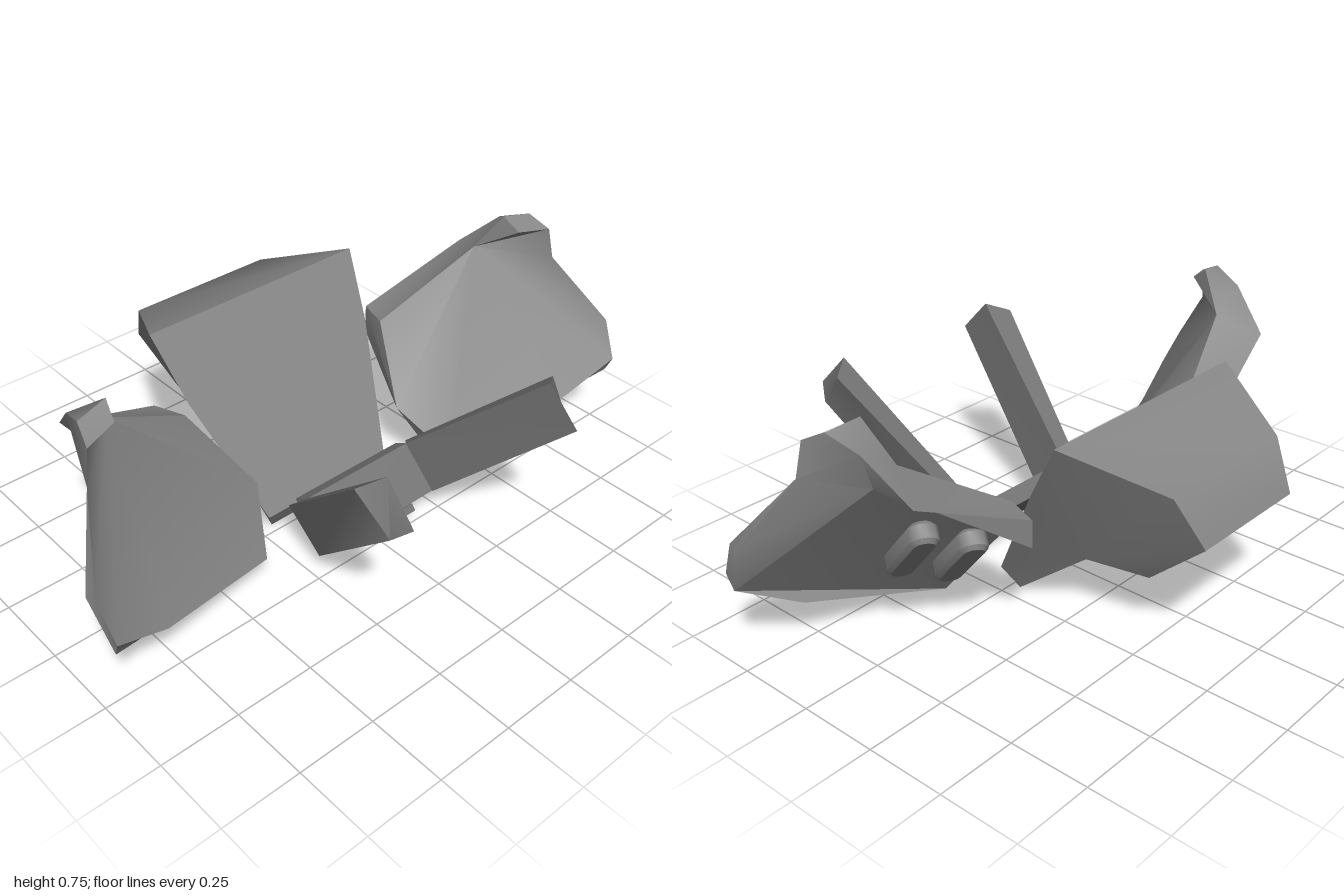
import * as THREE from 'three';
import { toCreasedNormals } from 'three/addons/utils/BufferGeometryUtils.js';

const plateGrey = new THREE.MeshStandardMaterial({ color: 0x868686 });
const frameGrey = new THREE.MeshStandardMaterial({ color: 0x727272 });

// Solid from named corners; faces are strings of corner names, fanned from the first
function solid(corners, faces) {
  const pos = [];
  for (const face of faces) {
    const f = face.split(' ');
    for (let i = 1; i < f.length - 1; i++) pos.push(...corners[f[0]], ...corners[f[i]], ...corners[f[i + 1]]);
  }
  const geo = new THREE.BufferGeometry();
  geo.setAttribute('position', new THREE.Float32BufferAttribute(pos, 3));
  return geo;
}

// Reflects a non-indexed geometry in x and restores the winding
function mirrored(source) {
  const geo = source.clone();
  const p = geo.attributes.position;
  const a = new THREE.Vector3(), b = new THREE.Vector3();
  for (let i = 0; i < p.count; i++) p.setX(i, -p.getX(i));
  for (let i = 0; i < p.count; i += 3) {
    a.fromBufferAttribute(p, i + 1);
    b.fromBufferAttribute(p, i + 2);
    p.setXYZ(i + 1, b.x, b.y, b.z);
    p.setXYZ(i + 2, a.x, a.y, a.z);
  }
  return geo;
}

// Smooth across gentle folds, sharp at the real edges
function addMesh(parent, name, geo, material) {
  const mesh = new THREE.Mesh(toCreasedNormals(geo, THREE.MathUtils.degToRad(44)), material);
  mesh.name = name;
  parent.add(mesh);
}

function addPair(parent, name, geo, material) {
  addMesh(parent, 'right' + name, mirrored(geo), material);
  addMesh(parent, 'left' + name, geo, material);
}

// Extrudes a (z, y) profile across x, centred
function acrossX(profile, halfWidth) {
  const shape = new THREE.Shape(profile.map(([z, y]) => new THREE.Vector2(z, y)));
  const geo = new THREE.ExtrudeGeometry(shape, { depth: halfWidth * 2, bevelEnabled: false });
  return geo.rotateY(-Math.PI / 2).translate(halfWidth, 0, 0);
}

// Rear block: one side outline joined to its mirror image
function rearBlock() {
  const side = {
    A: [0.39, 0.635, -0.33], B: [0.245, 0.53, -0.61], C: [0.205, 0.39, -0.69], D: [0.16, 0.2, -0.48],
    E: [0.205, 0.205, -0.29], F: [0.2, 0, -0.03], G: [0.24, 0.075, 0.01], H: [0.353, 0.435, -0.21],
  };
  const corners = {};
  for (const [k, [x, y, z]] of Object.entries(side)) {
    corners[k] = [x, y, z];
    corners[k + 'r'] = [-x, y, z];
  }
  const ring = Object.keys(side);
  const faces = ['E D C B A H G F', 'Er Fr Gr Hr Ar Br Cr Dr'];
  ring.forEach((k, i) => {
    const n = ring[(i + 1) % ring.length];
    faces.push(`${k} ${n} ${n}r ${k}r`);
  });
  return solid(corners, faces);
}

// Side plate corners: P = front outline, Q = recessed back face, R = rear rim and crest
const plateCorners = {
  P1: [0.39, 0.43, -0.18], P2: [0.285, 0.24, 0.015], P3: [0.375, 0.095, 0.165], P4: [0.8, 0.185, 0.28],
  P5: [0.98, 0.275, 0.322], P6: [0.993, 0.395, 0.265], P7: [0.885, 0.6, 0.1], P8: [0.865, 0.705, 0.09],
  P9: [0.76, 0.715, 0.055], P10: [0.705, 0.63, -0.08],
  Q1: [0.77, 0.58, -0.06], Q2: [0.45, 0.355, -0.19], Q3: [0.39, 0.035, 0.095],
  Q4: [0.81, 0.14, 0.22], Q5: [0.975, 0.225, 0.3], Q6: [1, 0.39, 0.23],
  R0: [0.42, 0.335, -0.28], R1: [0.425, 0.425, -0.285], R2: [0.775, 0.575, -0.21],
  R3: [0.82, 0.7, -0.08], R4: [0.845, 0.74, 0.02], R5: [0.745, 0.755, 0],
};

// Side plate surfaces, kept apart so the edges between them stay sharp
const plateFaces = {
  PlateFront: ['P10 P1 P2 P3 P4 P5 P6 P7 P8 P9'],
  PlateLowerEdge: ['P4 P3 Q3 Q4', 'P5 P4 Q4 Q5'],
  PlateOuterEdge: ['P6 P5 Q5 Q6', 'P7 P6 Q6', 'P7 Q6 Q1', 'Q6 Q5 Q1', 'P7 Q1 R3', 'P8 P7 R3', 'Q1 R2 R3', 'P8 R3 R4'],
  PlateCrest: ['P9 P8 R4 R5', 'P10 P9 R5', 'R5 R4 R3', 'P10 R5 R3', 'P10 R3 R2', 'P1 P10 R2 R1'],
  PlateInnerEdge: ['P2 P1 R1 R0', 'P2 R0 Q2', 'P2 Q2 Q3', 'P2 Q3 P3'],
  PlateRim: ['Q1 Q2 R0 R1 R2'],
  PlateBack: ['Q3 Q2 Q1 Q5 Q4'],
};

// Raised bar with blunt ends lying on the back face of a side plate
function backBar(centre) {
  const r = 0.03, h = 0.095;
  const shape = new THREE.Shape();
  shape.absarc(0, h, r, 0, Math.PI);
  shape.absarc(0, -h, r, Math.PI, Math.PI * 2);
  const geo = new THREE.ExtrudeGeometry(shape, {
    depth: 0.04, curveSegments: 3, bevelSize: 0.012, bevelThickness: 0.012, bevelSegments: 1,
  });
  const along = new THREE.Vector3(0.06, 0.32, -0.285).normalize();
  const out = new THREE.Vector3(0.12, -0.178, -0.174).normalize();
  const across = new THREE.Vector3().crossVectors(along, out).normalize();
  out.crossVectors(across, along);
  const place = new THREE.Matrix4().makeBasis(across, along, out).setPosition(...centre);
  return geo.applyMatrix4(place);
}

// Front arm: four-sided taper from the crossbar to the raised tip
function frontArm() {
  return solid({
    A: [0.315, 0.51, 0.688], B: [0.31, 0.618, 0.582], C: [0.38, 0.587, 0.535], D: [0.35, 0.468, 0.64],
    a: [0.2, 0.1, 0.268], b: [0.2, 0.215, 0.145], c: [0.24, 0.185, 0.105], d: [0.235, 0.07, 0.235],
  }, ['D C B A', 'A B b a', 'B C c b', 'C D d c', 'D A a d', 'a b c d']);
}

export function createModel() {
  const model = new THREE.Group();
  model.name = 'model';

  addMesh(model, 'rearBlock', rearBlock(), plateGrey);

  const plates = new THREE.Group();
  plates.name = 'sidePlates';
  for (const [name, faces] of Object.entries(plateFaces)) addPair(plates, name, solid(plateCorners, faces), plateGrey);
  addPair(plates, 'OuterBar', backBar([0.635, 0.355, -0.035]), plateGrey);
  addPair(plates, 'InnerBar', backBar([0.495, 0.288, -0.075]), plateGrey);
  model.add(plates);

  const frame = new THREE.Group();
  frame.name = 'frontFrame';
  addPair(frame, 'Arm', frontArm(), frameGrey);
  addMesh(frame, 'crossbar',
    acrossX([[0.145, 0.215], [0.095, 0.185], [0.18, 0.085], [0.235, 0.07], [0.266, 0.1]], 0.205), frameGrey);
  addMesh(frame, 'crossbarLip',
    acrossX([[0.262, 0.09], [0.2, 0.075], [0.235, 0.038], [0.276, 0.072]], 0.12), frameGrey);
  model.add(frame);

  return model;
}
